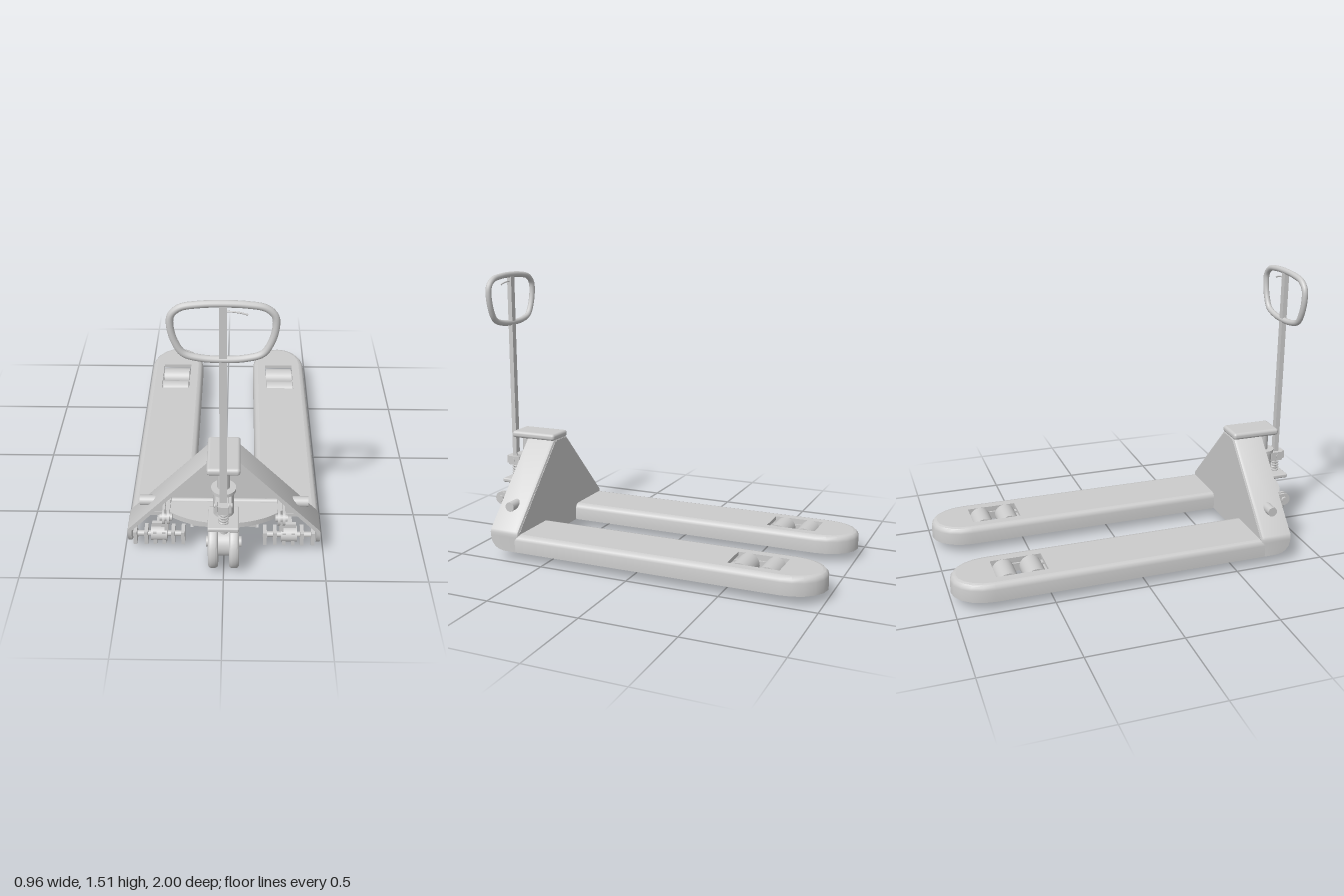
import * as THREE from 'three';
import { toCreasedNormals } from 'three/addons/utils/BufferGeometryUtils.js';
import { RoundedBoxGeometry } from 'three/addons/geometries/RoundedBoxGeometry.js';

const grey = new THREE.MeshStandardMaterial({ color: 0xcccccc });
const shell = new THREE.MeshStandardMaterial({ color: 0xcccccc, side: THREE.DoubleSide });
const V = (x, y, z) => new THREE.Vector3(x, y, z);

export function createModel() {
  const root = new THREE.Group();

  const add = (name, geo, x = 0, y = 0, z = 0, mat = grey) => {
    const m = new THREE.Mesh(geo, mat);
    m.name = name;
    m.position.set(x, y, z);
    root.add(m);
    return m;
  };
  const box = (name, w, h, d, x, y, z) => add(name, new THREE.BoxGeometry(w, h, d), x, y, z);
  // Cylinder along the y, x or z axis
  const cyl = (name, r, len, axis, x, y, z, seg = 24) => {
    const g = new THREE.CylinderGeometry(r, r, len, seg);
    if (axis === 'x') g.rotateZ(Math.PI / 2);
    if (axis === 'z') g.rotateX(Math.PI / 2);
    return add(name, g, x, y, z);
  };
  const shapeOf = (pts) => new THREE.Shape(pts.map(([x, y]) => new THREE.Vector2(x, y)));
  const extrude = (shape, depth) => new THREE.ExtrudeGeometry(shape, { depth, bevelEnabled: false, curveSegments: 16 });
  // Extrude a plan given as x and -z upwards
  const slab = (shape, depth) => extrude(shape, depth).rotateX(-Math.PI / 2);
  // Skin over rows of points
  const loft = (rows, closed) => {
    const n = rows[0].length, idx = [];
    for (let i = 0; i < rows.length - 1; i++) {
      for (let j = 0; j < (closed ? n : n - 1); j++) {
        const k = (j + 1) % n;
        const a = i * n + j, b = a + n, c = (i + 1) * n + k, d = i * n + k;
        idx.push(a, b, c, a, c, d);
      }
    }
    const g = new THREE.BufferGeometry().setFromPoints(rows.flat());
    g.setIndex(idx);
    return toCreasedNormals(g, 0.6);
  };

  // Forks: hollow channels with a rounded tip and a roller window
  const plan = (inset) => {
    const w = 0.16 - inset, pts = [[w, 0.67]];
    for (let i = 0; i <= 10; i++) {
      const a = (i / 10) * Math.PI;
      pts.push([w * Math.cos(a), -0.8 - (0.2 - inset) * Math.sin(a)]);
    }
    pts.push([-w, 0.67]);
    return pts;
  };
  const wall = [[0.03, 0.125], [0.015, 0.125], [0.015, 0.05], [0, 0.05], [0, 0.115],
    [0.004, 0.13], [0.014, 0.141], [0.03, 0.145]];
  const rings = wall.map(([d, y]) => plan(d).map(([x, z]) => V(x, y, z)));
  const wallGeo = loft(rings[0].map((_, i) => rings.map((r) => r[i])), false);
  const deck = shapeOf(plan(0.03).map(([x, z]) => [x, -z]));
  deck.holes.push(new THREE.Path([[-0.085, 0.51], [-0.085, 0.78], [0.085, 0.78], [0.085, 0.51]]
    .map(([x, y]) => new THREE.Vector2(x, y))));
  const deckGeo = slab(deck, 0.02);

  for (const s of [-1, 1]) {
    const x = s * 0.32;
    add('forkWalls', wallGeo, x, 0, 0, shell);
    add('forkDeck', deckGeo, x, 0.125, 0);

    // Load rollers in their carrier
    for (const z of [-0.715, -0.57]) {
      cyl('loadRoller', 0.057, 0.156, 'x', x, 0.092, z, 32);
      cyl('rollerAxle', 0.015, 0.19, 'x', x, 0.092, z);
    }
    for (const e of [-1, 1]) {
      box('rollerCarrier', 0.01, 0.045, 0.25, x + e * 0.085, 0.09, -0.64);
      box('rollerLink', 0.012, 0.05, 0.14, x + e * 0.045, 0.09, -0.45);
    }
    box('carrierBridge', 0.18, 0.04, 0.015, x, 0.085, -0.505);
    cyl('linkPin', 0.018, 0.26, 'x', x, 0.085, -0.42);

    // Push rod and the clevis at the front of the fork
    box('pushRod', 0.05, 0.025, 1.18, x, 0.09, 0.17);
    cyl('clevisPin', 0.014, 0.25, 'x', s * 0.325, 0.095, 0.77);
    for (const e of [0.205, 0.255, 0.3, 0.345, 0.39, 0.445]) {
      box('clevisPlate', 0.018, 0.075, 0.07, s * e, 0.09, 0.77);
    }
    cyl('clevisBushing', 0.04, 0.08, 'x', s * 0.325, 0.1, 0.77);
    box('clevisRib', 0.07, 0.045, 0.02, s * 0.325, 0.14, 0.765);
    box('linkStrap', 0.02, 0.13, 0.04, s * 0.285, 0.21, 0.79);

    // Rocker lever ends and the cross shaft ends
    const lever = new THREE.Shape();
    lever.absarc(0, 0, 0.035, -Math.PI / 2, Math.PI / 2);
    lever.lineTo(-0.13, 0.03);
    lever.lineTo(-0.13, -0.03);
    for (const e of [0.268, 0.292]) {
      add('rockerLever', extrude(lever, 0.012).rotateY(-Math.PI / 2), s * e + 0.006, 0.28, 0.865);
    }
    cyl('leverPin', 0.017, 0.06, 'x', s * 0.28, 0.28, 0.865);
    cyl('shaftEnd', 0.026, 0.09, 'x', s * 0.373, 0.277, 0.735);
  }
  cyl('crossShaft', 0.014, 0.72, 'x', 0, 0.277, 0.735);

  // Frame: folded side flange running up one side and down the other
  const half = [[0.48, 0.05], [0.48, 0.058], [0.48, 0.072], [0.48, 0.095], [0.48, 0.13],
    [0.48, 0.148], [0.474, 0.163], [0.08, 0.573], [0.05, 0.59]];
  const path = [...half, ...half.map(([x, y]) => [-x, y]).reverse()];
  const frontZ = (y) => 0.74 + 0.08 * Math.sqrt(1 - (Math.max(0, 0.13 - y) / 0.08) ** 2);
  const section = [[null, 0.02], [0.665, 0.02], [0.65, 0.02], [0.656, 0.006], [0.67, 0], [null, 0]];
  const at = (i) => path[Math.min(Math.max(i, 0), path.length - 1)];
  const rows = path.map(([x, y], i) => {
    const [ax, ay] = at(i - 1), [bx, by] = at(i + 1);
    const len = Math.hypot(bx - ax, by - ay);
    const nx = -(by - ay) / len, ny = (bx - ax) / len;
    return section.map(([z, d]) => V(x + nx * d, y + ny * d, z ?? frontZ(y)));
  });
  add('frameFlange', loft(rows, true), 0, 0, 0, shell);

  // Frame back plate, notched over the forks
  const plate = [[0.165, 0.05], [0.165, 0.13], [0.461, 0.13], [0.461, 0.152], [0.065, 0.565], [0.04, 0.575]];
  add('backPlate', extrude(shapeOf([...plate, ...plate.map(([x, y]) => [-x, y]).reverse()]), 0.015), 0, 0, 0.65);
  add('topCap', new RoundedBoxGeometry(0.16, 0.038, 0.275, 4, 0.016), 0, 0.593, 0.788);

  // Rocker plate carrying the pump
  const rocker = new THREE.Shape();
  rocker.moveTo(-0.285, -0.77);
  rocker.lineTo(-0.285, -0.83);
  rocker.quadraticCurveTo(-0.17, -0.93, 0, -0.93);
  rocker.quadraticCurveTo(0.17, -0.93, 0.285, -0.83);
  rocker.lineTo(0.285, -0.77);
  add('rockerPlate', slab(rocker, 0.028), 0, 0.27, 0);

  // Twin steering wheels with rounded treads
  const tread = [[0.025, -0.024], [0.118, -0.024], [0.125, -0.02], [0.129, -0.012], [0.129, 0.012],
    [0.125, 0.02], [0.118, 0.024], [0.025, 0.024]].map(([r, y]) => new THREE.Vector2(r, y));
  for (const s of [-1, 1]) {
    add('steeringWheel', toCreasedNormals(new THREE.LatheGeometry(tread, 48), 0.6).rotateZ(Math.PI / 2), s * 0.051, 0.13, 0.866);
  }
  cyl('wheelHub', 0.07, 0.056, 'x', 0, 0.13, 0.866, 32);
  cyl('wheelAxle', 0.026, 0.175, 'x', 0, 0.13, 0.866);
  cyl('steeringPost', 0.025, 0.12, 'y', 0, 0.23, 0.866);

  // Hydraulic pump and lifting ram
  add('pumpBase', new RoundedBoxGeometry(0.15, 0.024, 0.17, 3, 0.008), 0, 0.312, 0.915);
  cyl('pumpBody', 0.05, 0.14, 'y', 0, 0.39, 0.872, 32);
  cyl('pumpCollar', 0.06, 0.018, 'y', 0, 0.463, 0.872, 32);
  cyl('liftRam', 0.031, 0.12, 'y', 0, 0.525, 0.866);

  // Pump piston with its return spring
  const coil = [];
  for (let i = 0; i <= 80; i++) {
    const a = (i / 16) * Math.PI * 2;
    coil.push(V(0.021 * Math.cos(a), 0.325 + 0.08 * (i / 80), 0.95 + 0.021 * Math.sin(a)));
  }
  add('pumpSpring', new THREE.TubeGeometry(new THREE.CatmullRomCurve3(coil), 160, 0.005, 6));
  cyl('pumpPiston', 0.011, 0.12, 'y', 0, 0.36, 0.95);
  cyl('pistonNut', 0.02, 0.03, 'y', 0, 0.285, 0.945, 6);
  box('handleClevis', 0.05, 0.045, 0.08, 0, 0.427, 0.957);
  for (const s of [-1, 1]) box('clevisCheek', 0.012, 0.05, 0.07, s * 0.032, 0.425, 0.945);
  cyl('handlePivot', 0.012, 0.085, 'x', 0, 0.425, 0.95);

  // Draw bar, hand loop and release lever
  box('drawBar', 0.034, 1.1, 0.026, 0, 0.95, 0.95);
  const grip = [[0.1, 1.49], [0.18, 1.475], [0.218, 1.44], [0.224, 1.39], [0.205, 1.31], [0.17, 1.255], [0.1, 1.232]];
  const loop = [[0, 1.494], ...grip, [0, 1.225], ...grip.map(([x, y]) => [-x, y]).reverse()];
  const loopCurve = new THREE.CatmullRomCurve3(loop.map(([x, y]) => V(x, y, 0.95)), true);
  add('handLoop', new THREE.TubeGeometry(loopCurve, 96, 0.016, 12, true));
  const leverCurve = new THREE.QuadraticBezierCurve3(V(0, 1.457, 0.95), V(0.06, 1.46, 0.95), V(0.105, 1.442, 0.95));
  add('releaseLever', new THREE.TubeGeometry(leverCurve, 12, 0.004, 8));

  return root;
}
